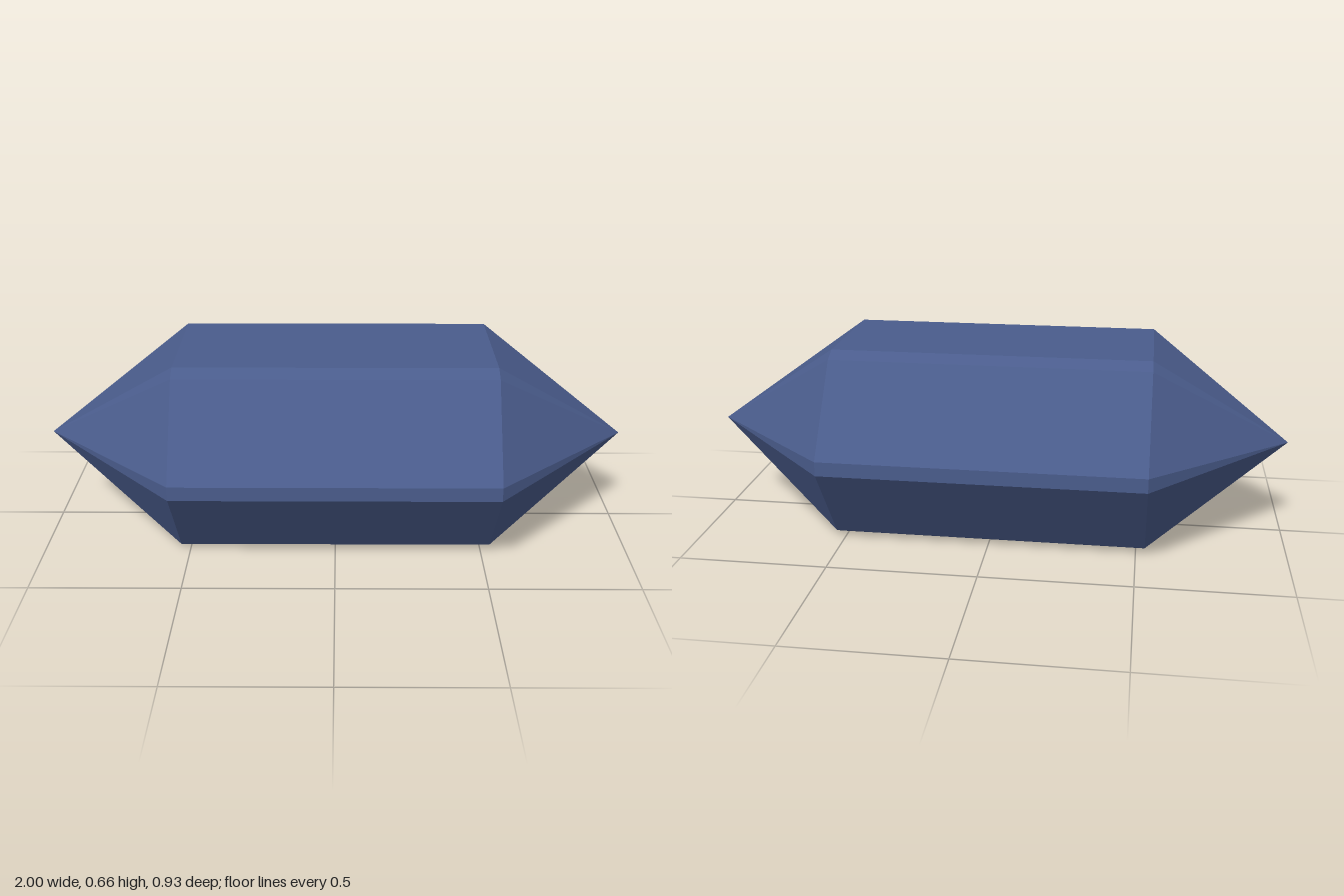
import * as THREE from 'three';

const HALF_BODY = 0.53, TIP = 1, CENTER_Y = 0.329;

// Half of the bevelled hexagon section as [z, y]; the other half is its negation
const half = [[0.214, 0.329], [0.26, 0.306], [0.467, 0.024], [0.467, -0.024], [0.26, -0.306], [0.214, -0.329]];
const section = [...half, ...half.map(([z, y]) => [-z, -y])];

// Flat-sided geometry from a rule giving the triangle corners for each section edge
function facets(rule) {
  const corners = section.flatMap((a, i) => rule(a, section[(i + 1) % section.length]));
  const geometry = new THREE.BufferGeometry().setFromPoints(corners);
  geometry.computeVertexNormals();
  return geometry;
}

const at = (x, [z, y]) => new THREE.Vector3(x, y, z);

export function createModel() {
  const group = new THREE.Group();
  group.name = 'crystal';
  const crystalBlue = new THREE.MeshStandardMaterial({ color: 0x4a5c8c, flatShading: true });
  crystalBlue.name = 'crystalBlue';

  const add = (name, geometry) => {
    const mesh = new THREE.Mesh(geometry, crystalBlue);
    mesh.name = name;
    mesh.position.y = CENTER_Y;
    group.add(mesh);
  };

  // Prism between the two points
  add('body', facets((a, b) => {
    const [a0, b0, a1, b1] = [at(-HALF_BODY, a), at(-HALF_BODY, b), at(HALF_BODY, a), at(HALF_BODY, b)];
    return [a0, b0, b1, a0, b1, a1];
  }));

  // Pyramids closing both ends
  add('leftTip', facets((a, b) => [at(HALF_BODY, a), at(HALF_BODY, b), at(TIP, [0, 0])]));
  add('rightTip', facets((a, b) => [at(-HALF_BODY, b), at(-HALF_BODY, a), at(-TIP, [0, 0])]));

  return group;
}
